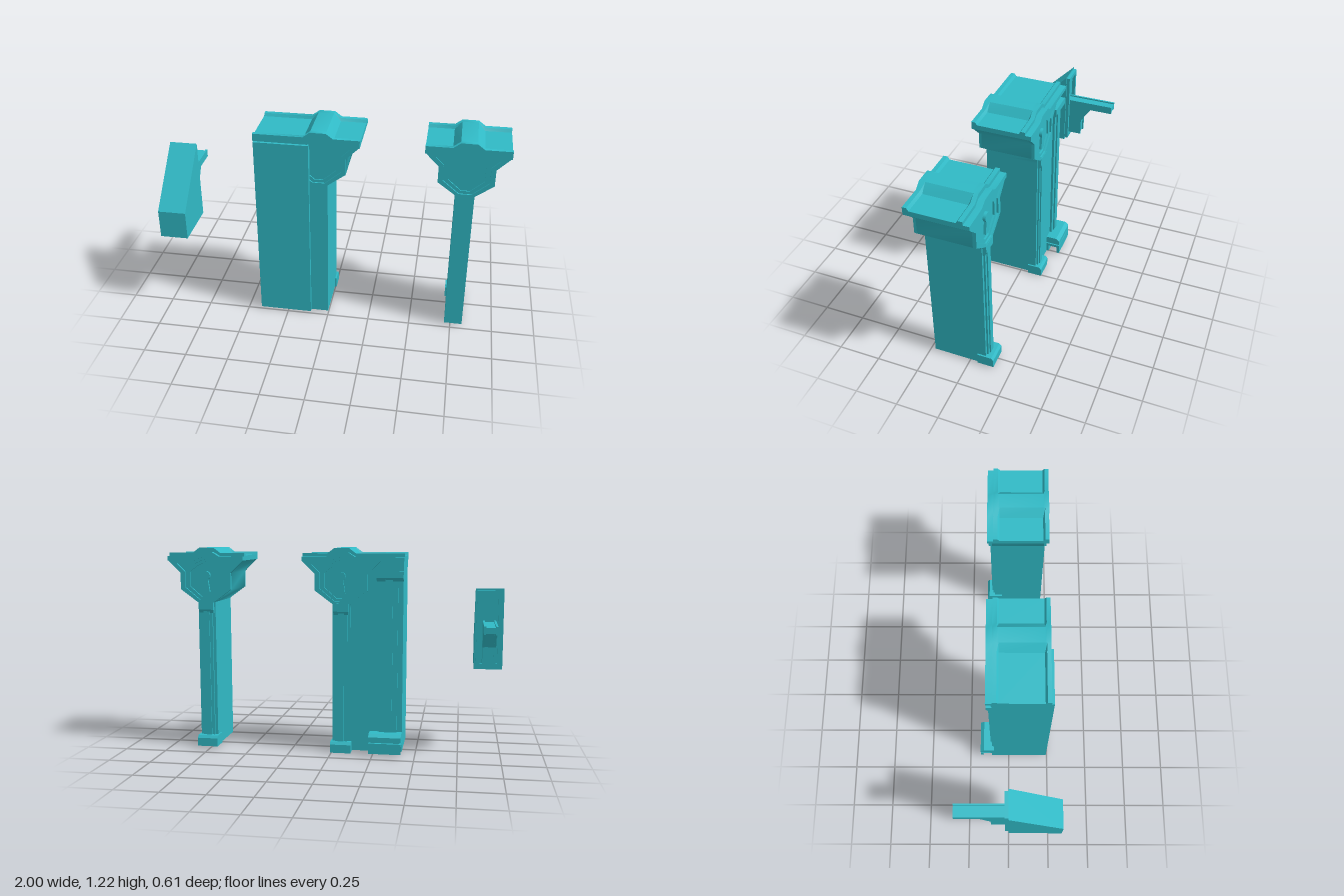
import * as THREE from 'three';
import { toCreasedNormals } from 'three/addons/utils/BufferGeometryUtils.js';

const mat = new THREE.MeshStandardMaterial({ color: 0x30bac6 });

function add(parent, name, geo) {
  const m = new THREE.Mesh(geo, mat);
  m.name = name;
  parent.add(m);
  return m;
}

// Box given by its limits on each axis
function block(parent, name, x0, x1, y0, y1, z0, z1) {
  const g = new THREE.BoxGeometry(x1 - x0, y1 - y0, z1 - z0);
  g.translate((x0 + x1) / 2, (y0 + y1) / 2, (z0 + z1) / 2);
  return add(parent, name, g);
}

const outline = (pts, C = THREE.Shape) => new C(pts.map(p => new THREE.Vector2(...p)));

// Outline in x,y pushed along z
function slab(parent, name, pts, z0, z1, hole) {
  const s = outline(pts);
  if (hole) s.holes.push(outline(hole, THREE.Path));
  const g = new THREE.ExtrudeGeometry(s, { depth: z1 - z0, bevelEnabled: false });
  return add(parent, name, g.translate(0, 0, z0));
}

// Outline in z,y pushed along x
function sideSlab(parent, name, pts, x0, x1) {
  const s = outline(pts.map(([z, y]) => [-z, y]));
  const g = new THREE.ExtrudeGeometry(s, { depth: x1 - x0, bevelEnabled: false });
  return add(parent, name, g.rotateY(Math.PI / 2).translate(x0, 0, 0));
}

// Half outline (right side, bottom to top) mirrored about x = 0
const mirror = half => [...half, ...half.filter(p => p[0] > 0).reverse().map(([x, y]) => [-x, y])];

// Cornice: humped profile whose flat parts are sunk between raised lips
function cornice(parent, x0, x1) {
  const pts = [[x0, 1.145], [-0.065, 1.145], [0, 1.172], [0.065, 1.145], [x1, 1.145],
    [x1, 1.19], [0.085, 1.19], [0.045, 1.22], [-0.045, 1.22], [-0.085, 1.19], [x0, 1.19]];
  // z, drop of the flats, drop of the hump
  const stations = [[-0.125, 0.02, 0.025], [-0.09, 0.02, 0.025], [-0.09, 0, 0], [-0.065, 0, 0],
    [-0.054, 0.016, 0], [0.194, 0.016, 0], [0.205, 0, 0], [0.228, 0, 0]];
  const n = stations.length - 1;
  const g = new THREE.ExtrudeGeometry(outline(pts), { depth: n, steps: n, bevelEnabled: false });
  const p = g.attributes.position;
  for (let i = 0; i < p.count; i++) {
    const [z, flat, hump] = stations[Math.round(p.getZ(i))];
    const y = p.getY(i);
    if (y > 1.18) p.setY(i, y - (y > 1.2 ? hump : flat));
    p.setZ(i, z);
  }
  add(parent, 'cornice', toCreasedNormals(g, 0.75));
}

// Column with bracketed capital, centred on its own x = 0
function column(name, x, left, baseY, baseBack) {
  const c = new THREE.Group();
  c.name = name;
  c.position.x = x;
  block(c, 'shaft', -0.053, 0.053, 0.01, 0.9, -0.1, 0.22);

  // Capital body with soft sides, then nested shield frames on both faces
  const top = [[0.065, 1.145], [0, 1.172]];
  const outer = mirror([[0.053, 0.87], [0.053, 0.895], [0.155, 0.972], [0.155, 1.07], [0.232, 1.146], ...top]);
  const ring = mirror([[0.05, 0.895], [0.155, 0.972], [0.155, 1.07], [0.232, 1.146], ...top]);
  const middle = mirror([[0.035, 0.908], [0.128, 0.985], [0.128, 1.08], [0.175, 1.125], [0.07, 1.125], [0, 1.155]]);
  const inner = mirror([[0.025, 0.925], [0.1, 0.99], [0.1, 1.078], [0.055, 1.11], [0, 1.138]]);
  const body = slab(c, 'capital', outer, -0.1, 0.205);
  body.geometry = toCreasedNormals(body.geometry, 0.95);
  slab(c, 'frontFrame', ring, 0.205, 0.22, middle);
  slab(c, 'frontInnerFrame', middle, 0.205, 0.212, inner);
  slab(c, 'backFrame', ring, -0.12, -0.1, middle);
  slab(c, 'backInnerFrame', middle, -0.11, -0.1, inner);

  // Keyhole ornament on the back of the capital
  const disc = new THREE.CylinderGeometry(0.027, 0.027, 0.016, 16).rotateX(Math.PI / 2);
  add(c, 'ornamentDisc', disc.translate(0, 1.055, -0.108));
  slab(c, 'ornamentStem', mirror([[0.024, 0.955], [0.011, 1.045]]), -0.114, -0.1);

  // Back pilaster strip with cap and foot
  block(c, 'strip', -0.036, 0.036, 0.02, 0.84, -0.11, -0.1);
  block(c, 'stripRib', -0.018, 0.018, 0.02, 0.84, -0.117, -0.11);
  sideSlab(c, 'stripCap', [[-0.09, 0.83], [-0.112, 0.83], [-0.122, 0.85], [-0.122, 0.9], [-0.09, 0.9]], -0.045, 0.045);
  sideSlab(c, 'foot', [[-0.05, baseY], [baseBack, baseY], [baseBack, baseY + 0.05],
    [baseBack + 0.012, baseY + 0.066], [-0.05, baseY + 0.066]], -0.062, 0.062);

  cornice(c, left, 0.233);
  return c;
}

// Wall joined to the middle column, with its own pilaster and plinth
function wall() {
  const w = new THREE.Group();
  w.name = 'wall';
  block(w, 'wallBody', -0.42, -0.107, 0.01, 1.146, -0.095, 0.244);
  block(w, 'pilaster', -0.39, -0.285, 0.05, 1.05, -0.108, -0.095);
  block(w, 'pilasterRib', -0.36, -0.315, 0.05, 1.05, -0.117, -0.108);
  sideSlab(w, 'pilasterCap', [[-0.09, 1.03], [-0.11, 1.03], [-0.124, 1.05], [-0.124, 1.09], [-0.09, 1.09]], -0.422, -0.265);
  sideSlab(w, 'plinthRail', [[-0.09, 0.085], [-0.182, 0.085], [-0.182, 0.115], [-0.16, 0.132], [-0.09, 0.132]], -0.42, -0.228);
  sideSlab(w, 'plinth', [[-0.09, 0.015], [-0.11, 0.015], [-0.11, 0.06], [-0.165, 0.06],
    [-0.165, 0.015], [-0.182, 0.015], [-0.182, 0.078], [-0.09, 0.078]], -0.42, -0.228);
  block(w, 'plinthCore', -0.41, -0.24, 0.07, 0.09, -0.165, -0.09);
  return w;
}

// Separate wedge with a bracket arm on its back
function wedge() {
  const w = new THREE.Group();
  w.name = 'wedgeBracket';
  sideSlab(w, 'wedge', [[0, 0.51], [0.307, 0.51], [0.307, 0.68], [0, 0.988]], -1, -0.835);
  const rect = (a, b, c, d) => [[a, c], [b, c], [b, d], [a, d]];
  slab(w, 'backFrame', rect(-0.99, -0.845, 0.52, 0.978), -0.02, 0, rect(-0.968, -0.867, 0.545, 0.953));

  // Arm: two side rails with a slightly sunk web between them
  const arm = d => [[0, 0.55], [d - 0.1, 0.55], [d - 0.1, 0.655], [d - 0.115, 0.68], [d - 0.162, 0.752 + d],
    [-0.305, 0.752 + d], [-0.305, 0.8 - d], [0, 0.8 - d]];
  sideSlab(w, 'armWeb', arm(0.008), -0.945, -0.892);
  for (const x of [-0.957, -0.892]) sideSlab(w, 'armRail', arm(0), x, x + 0.012);
  return w;
}

export function createModel() {
  const model = new THREE.Group();
  model.name = 'columnSet';
  model.add(
    column('rightColumn', 0.767, -0.233, 0.01, -0.148),
    column('middleColumn', -0.055, -0.37, 0.0, -0.14),
    wall(),
    wedge()
  );
  return model;
}
